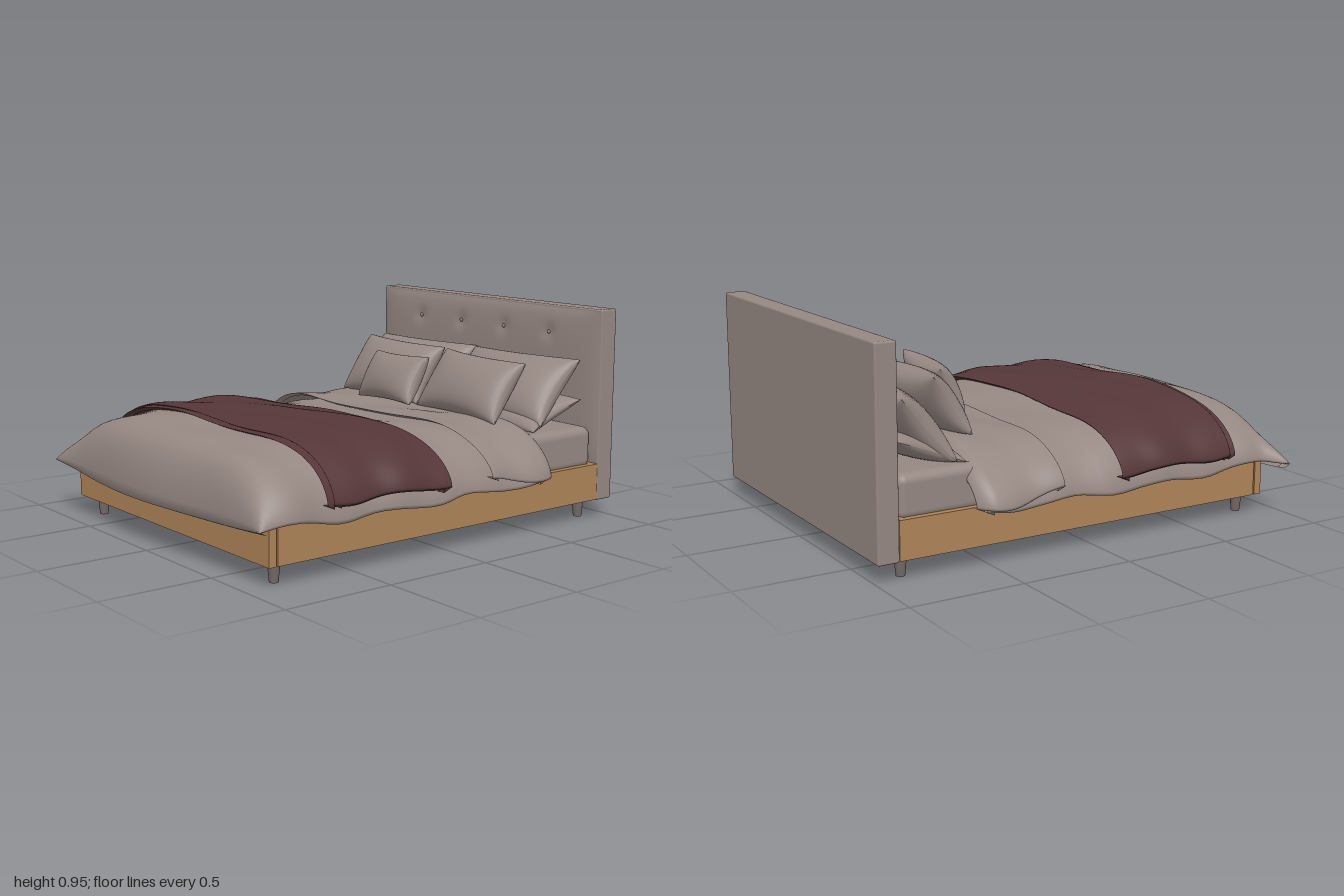
import * as THREE from 'three';
import { mergeGeometries } from 'three/addons/utils/BufferGeometryUtils.js';
import { RoundedBoxGeometry } from 'three/addons/geometries/RoundedBoxGeometry.js';

const CX = 0.0125; // middle of the frame

function material(name, color, side = THREE.FrontSide) {
  const m = new THREE.MeshStandardMaterial({ color, side });
  m.name = name;
  return m;
}

const smooth = THREE.MathUtils.smoothstep;
const wrinkle = (x, z) =>
  0.006 * Math.sin(6 * x + 4 * z) + 0.004 * Math.sin(17 * z - 5 * x + 1) + 0.003 * Math.sin(11 * x + 23 * z);

// Height of the bedding along its length
const bedTop = z => 0.46 + 0.055 * smooth(z, -0.1, 0.3) - 0.025 * smooth(z, 0.6, 0.9);

// Cloth draped over the bed: arched cross-sections in a loop along z, with tucked hems
function drape({ z0, z1, half, hem, lift = 0, skew = 0, roundFront = 0, roundBack = 0, tip = 0 }) {
  const nx = 56, nz = 48, cols = nx + 3, pos = [], idx = [];
  for (let j = -1; j <= nz + 1; j++) {
    const v = THREE.MathUtils.clamp(j / nz, 0, 1);
    const z = z0 + (z1 - z0) * (1 - Math.cos(Math.PI * v)) / 2;
    const tuckRow = j < 0 ? 1 : j > nz ? -1 : 0;
    let end = 1, width = half;
    if (roundFront) end *= Math.pow(1 - Math.max(0, (z - z1 + roundFront) / roundFront) ** 4, 0.5);
    if (roundBack) {
      const b = Math.max(0, 1 - (z - z0) / roundBack);
      end *= 0.8 + 0.2 * Math.sqrt(1 - b * b);
      width -= 0.05 * b * b;
    }
    width += 0.01 * Math.sin(9 * z) + 0.006 * Math.sin(25 * z);
    for (let i = -1; i <= nx + 1; i++) {
      const s = THREE.MathUtils.clamp(-1 + 2 * i / nx, -1, 1);
      const u = Math.sin(s * Math.PI / 2);
      const tuckCol = i < 0 ? 1 : i > nx ? -1 : 0;
      const base = hem(u, z) + 0.01 * Math.sin(14 * z + 3 * u);
      const arch = Math.pow(1 - Math.abs(u) ** 4.8, 0.62);
      const pull = tip * smooth(-u, 0.85, 1) * smooth(z, z1 - 0.12, z1);
      const x = CX + u * width + tuckCol * 0.04 - pull;
      const y = base + (bedTop(z) + lift - base + wrinkle(x, z)) * arch * end - Math.abs(tuckRow) * 0.015;
      const zz = z + skew * x + 0.01 * Math.sin(5 * x + 2) + tuckRow * 0.035;
      pos.push(x, y, zz);
    }
  }
  for (let j = 0; j < nz + 2; j++) for (let i = 0; i < cols - 1; i++) {
    const a = j * cols + i, b = a + 1, c = a + cols, d = c + 1;
    idx.push(a, c, b, b, c, d);
  }
  const g = new THREE.BufferGeometry();
  g.setAttribute('position', new THREE.Float32BufferAttribute(pos, 3));
  g.setIndex(idx);
  g.computeVertexNormals();
  return g;
}

// Stuffed cushion: two bulging faces with drawn-in edges and pointed corners
function cushion(w, h, d) {
  const face = back => {
    const g = new THREE.PlaneGeometry(2, 2, 24, 24), p = g.attributes.position;
    for (let i = 0; i < p.count; i++) {
      // Rows crowd towards the seam so that the edge stays round
      const u = Math.sin(p.getX(i) * Math.PI / 2), v = Math.sin(p.getY(i) * Math.PI / 2);
      const puff = Math.pow(Math.max(0, (1 - u * u) * (1 - v * v)), 0.42);
      p.setXYZ(i, w / 2 * u * (1 - 0.07 * (1 - v * v)), h / 2 * v * (1 - 0.1 * (1 - u * u)), d / 2 * puff);
    }
    if (back) g.rotateY(Math.PI);
    g.computeVertexNormals();
    return g;
  };
  return mergeGeometries([face(false), face(true)]);
}

export function createModel() {
  const bed = new THREE.Group();
  bed.name = 'bed';
  const linen = material('linen grey', 0x958782);
  const cloth = material('draped linen grey', 0x958782, THREE.DoubleSide);
  const wood = material('oak', 0xae8358);
  const wine = material('wine throw', 0x553638, THREE.DoubleSide);
  const legMat = material('leg grey', 0x736868);

  const add = (name, geo, mat, x = 0, y = 0, z = 0, parent = bed) => {
    const m = new THREE.Mesh(geo, mat);
    m.name = name;
    m.position.set(x, y, z);
    parent.add(m);
    return m;
  };

  // Wooden frame: four rails around a recessed bottom panel
  const frame = new THREE.Group();
  frame.name = 'frame';
  bed.add(frame);
  add('frontRail', new THREE.BoxGeometry(1.515, 0.165, 0.035), wood, CX, 0.1675, 0.8925, frame);
  add('backRail', new THREE.BoxGeometry(1.515, 0.165, 0.03), wood, CX, 0.1675, -0.89, frame);
  for (const s of [-1, 1])
    add('sideRail', new THREE.BoxGeometry(0.03, 0.165, 1.743), wood, CX + s * 0.7425, 0.1675, -0.0035, frame);
  add('bottomPanel', new THREE.BoxGeometry(1.46, 0.015, 1.76), wood, CX, 0.108, 0, frame);

  // Tapered legs
  for (const s of [-1, 1]) for (const z of [0.835, -0.865])
    add('leg', new THREE.CylinderGeometry(0.027, 0.019, 0.088, 20), legMat, CX + s * 0.68, 0.044, z);

  // Headboard slab with a padded, buttoned front
  const headboard = new THREE.Group();
  headboard.name = 'headboard';
  bed.add(headboard);
  add('slab', new RoundedBoxGeometry(1.515, 0.87, 0.095, 2, 0.008), linen, CX, 0.515, -0.9525, headboard);
  const buttons = [-0.435, -0.137, 0.162, 0.46], buttonY = 0.825;
  const pad = new THREE.PlaneGeometry(1.505, 0.7, 80, 40), p = pad.attributes.position;
  for (let i = 0; i < p.count; i++) {
    const u = p.getX(i) / 0.7525, v = p.getY(i) / 0.35;
    let z = 0.026 * Math.pow(Math.max(0, (1 - u ** 8) * (1 - v ** 4)), 0.7);
    for (const b of buttons) {
      const r2 = (p.getX(i) + CX - b) ** 2 + (p.getY(i) + 0.59 - buttonY) ** 2;
      z -= 0.013 * Math.exp(-r2 / 0.0012);
    }
    p.setZ(i, z);
  }
  pad.computeVertexNormals();
  add('padding', pad, linen, CX, 0.59, -0.9045, headboard);
  for (const x of buttons) {
    const b = add('button', new THREE.SphereGeometry(0.01, 12, 8), linen, x, buttonY, -0.889, headboard);
    b.scale.z = 0.6;
  }

  // Mattress, shown at the head end
  add('mattress', new RoundedBoxGeometry(1.46, 0.19, 0.43, 4, 0.04), linen, CX, 0.325, -0.68);

  // Bedding
  add('duvet', drape({
    z0: -0.53, z1: 0.98, half: 0.795, roundFront: 0.23, tip: 0.08,
    hem: (u, z) => 0.225 + 0.025 * smooth(z, 0.6, 0.9) - 0.055 * smooth(z, 0.6, 0.98) * (1 - u * u),
  }), cloth);
  add('duvetFold', drape({
    z0: -0.565, z1: -0.18, half: 0.86, lift: 0.018, skew: 0.025, roundBack: 0.07,
    hem: (u, z) => 0.25 + 0.05 * smooth(z, -0.5, -0.2),
  }), cloth);
  add('throwUnderLayer', drape({ z0: 0.08, z1: 0.695, half: 0.827, lift: 0.012, skew: -0.02, hem: () => 0.3 }), wine);
  add('throwTopLayer', drape({ z0: 0.075, z1: 0.665, half: 0.832, lift: 0.018, skew: -0.02, hem: () => 0.305 }), wine);

  // Cushions: name, width, height, depth, position, lean back, turn, roll
  const cushions = [
    ['sleepingPillow', 0.68, 0.32, 0.13, -0.34, 0.48, -0.72, -1.2, 0, 0],
    ['sleepingPillow', 0.68, 0.32, 0.13, 0.35, 0.48, -0.72, -1.2, 0, 0],
    ['backPillow', 0.69, 0.37, 0.20, -0.34, 0.57, -0.745, -0.72, 0.02, 0.01],
    ['backPillow', 0.69, 0.37, 0.20, 0.34, 0.575, -0.745, -0.72, -0.02, 0.02],
    ['middlePillow', 0.55, 0.31, 0.18, -0.235, 0.605, -0.535, -0.6, 0.02, -0.02],
    ['middlePillow', 0.55, 0.31, 0.18, 0.335, 0.595, -0.515, -0.6, -0.04, -0.02],
    ['smallPillow', 0.43, 0.24, 0.15, -0.02, 0.605, -0.355, -0.5, -0.13, 0.04],
  ];
  for (const [name, w, h, d, x, y, z, lean, turn, roll] of cushions)
    add(name, cushion(w, h, d), linen, x, y, z).rotation.set(lean, turn, roll, 'YXZ');

  return bed;
}
